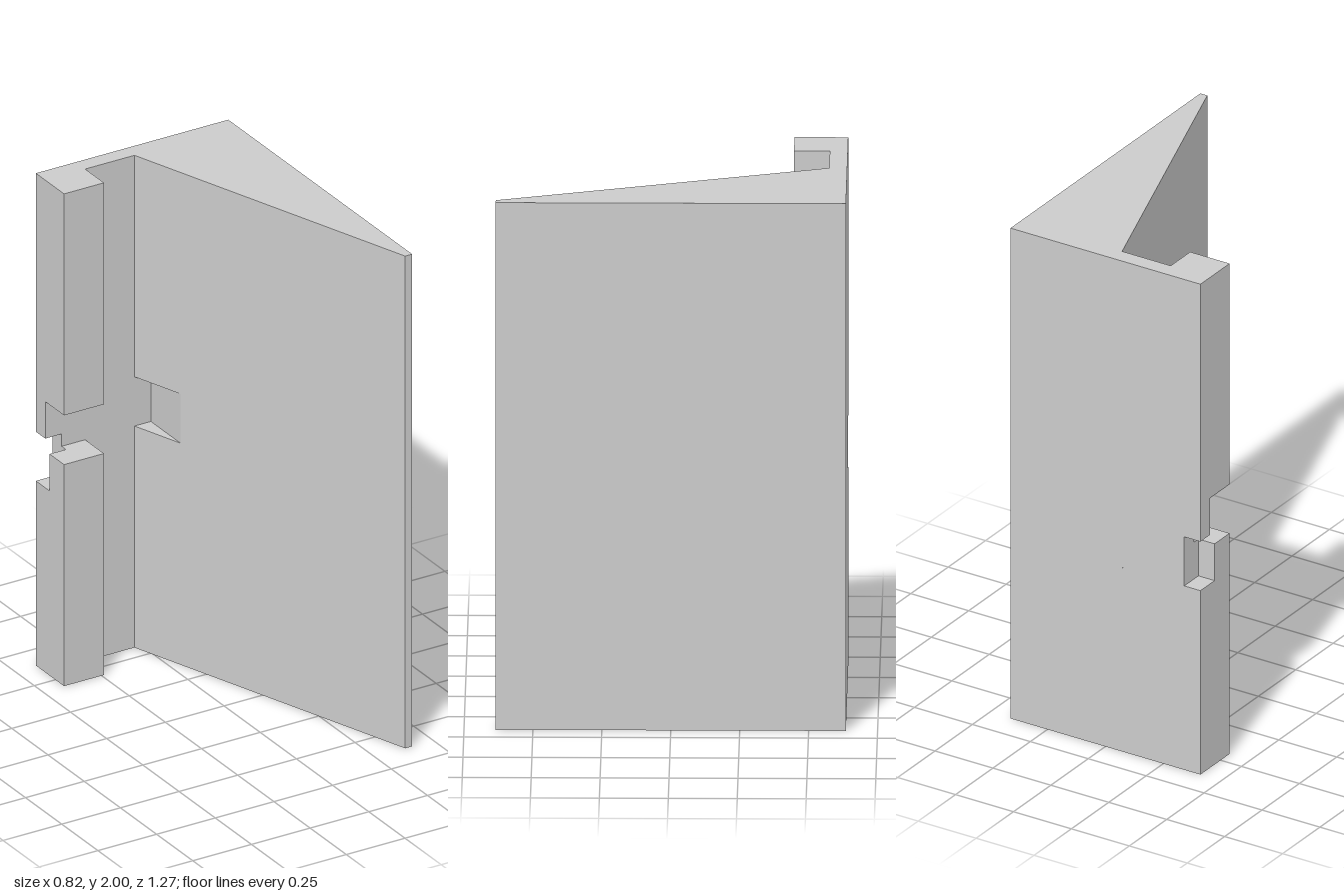
import * as THREE from 'three';

// Plan positions: outer edges, lip, wedge and cut lines
const L = -0.41, R = 0.41, BACK = -0.635, FRONT = 0.635;
const LIP_X = -0.24, LIP_Z = -0.44, PLATE_Z = -0.57;
const POCKET_X = -0.34, POCKET_Z = -0.54;
const WEDGE_X = -0.03, TIP_X = 0.38, SLOT_X = 0.04;
const SLOT_Z = PLATE_Z + (SLOT_X - WEDGE_X) / (TIP_X - WEDGE_X) * (FRONT - PLATE_Z);

// Contours in plan as [x, z]
const body = [[R, BACK], [R, FRONT], [TIP_X, FRONT], [WEDGE_X, PLATE_Z], [LIP_X, PLATE_Z], [LIP_X, LIP_Z], [L, LIP_Z]];
const slotted = [[R, BACK], [R, FRONT], [TIP_X, FRONT], [SLOT_X, SLOT_Z], [SLOT_X, PLATE_Z]];
const full = [...body, [L, BACK]];
const withPocket = [...body, [L, POCKET_Z], [POCKET_X, POCKET_Z], [POCKET_X, BACK]];
const slotAndPocket = [...slotted, [POCKET_X, PLATE_Z], [POCKET_X, BACK]];
const slotOnly = [...slotted, [L, PLATE_Z], [L, BACK]];
const wedgeCorner = [[WEDGE_X, PLATE_Z], [SLOT_X, PLATE_Z], [SLOT_X, SLOT_Z]];
const rect = (x0, x1, z0, z1) => [[x0, z0], [x1, z0], [x1, z1], [x0, z1]];

// Contour turned counter-clockwise as seen from above
function contour(points) {
  const c = points.map(([x, z]) => new THREE.Vector2(x, -z));
  return THREE.ShapeUtils.isClockWise(c) ? c.reverse() : c;
}

export function createModel() {
  const positions = [];
  const put = (p, y) => positions.push(p.x, y, -p.y);

  // Upright sides of one layer
  function walls(points, y0, y1) {
    const c = contour(points);
    c.forEach((a, i) => {
      const b = c[(i + 1) % c.length];
      put(a, y0); put(b, y0); put(b, y1);
      put(a, y0); put(b, y1); put(a, y1);
    });
  }

  // Exposed horizontal face, looking up or down
  function cap(points, y, up) {
    const c = contour(points);
    for (const f of THREE.ShapeUtils.triangulateShape(c, [])) {
      const tri = f.map((i) => c[i]);
      if (THREE.ShapeUtils.isClockWise(tri) === up) tri.reverse();
      tri.forEach((p) => put(p, y));
    }
  }

  // Layers from bottom to top
  walls(full, 0, 0.75);
  walls(withPocket, 0.75, 0.9);
  walls(slotAndPocket, 0.9, 0.95);
  walls(slotOnly, 0.95, 1.1);
  walls(full, 1.1, 2);

  // Bottom and top
  cap(full, 0, false);
  cap(full, 2, true);

  // Back pocket floor and ceiling
  cap(rect(L, POCKET_X, BACK, POCKET_Z), 0.75, true);
  cap(rect(L, POCKET_X, BACK, PLATE_Z), 0.95, false);

  // Front slot floor and ceiling, in the lip and in the wedge
  cap([[L, LIP_Z], [LIP_X, LIP_Z], [LIP_X, PLATE_Z], [POCKET_X, PLATE_Z], [POCKET_X, POCKET_Z], [L, POCKET_Z]], 0.9, true);
  cap(rect(L, LIP_X, PLATE_Z, LIP_Z), 1.1, false);
  cap(wedgeCorner, 0.9, true);
  cap(wedgeCorner, 1.1, false);

  const geometry = new THREE.BufferGeometry();
  geometry.setAttribute('position', new THREE.Float32BufferAttribute(positions, 3));
  geometry.computeVertexNormals();

  const bracket = new THREE.Mesh(geometry, new THREE.MeshStandardMaterial({ color: 0xcccccc, flatShading: true }));
  bracket.name = 'notchedWedgeBracket';
  const group = new THREE.Group();
  group.name = 'wedgeBracket';
  group.add(bracket);
  return group;
}
